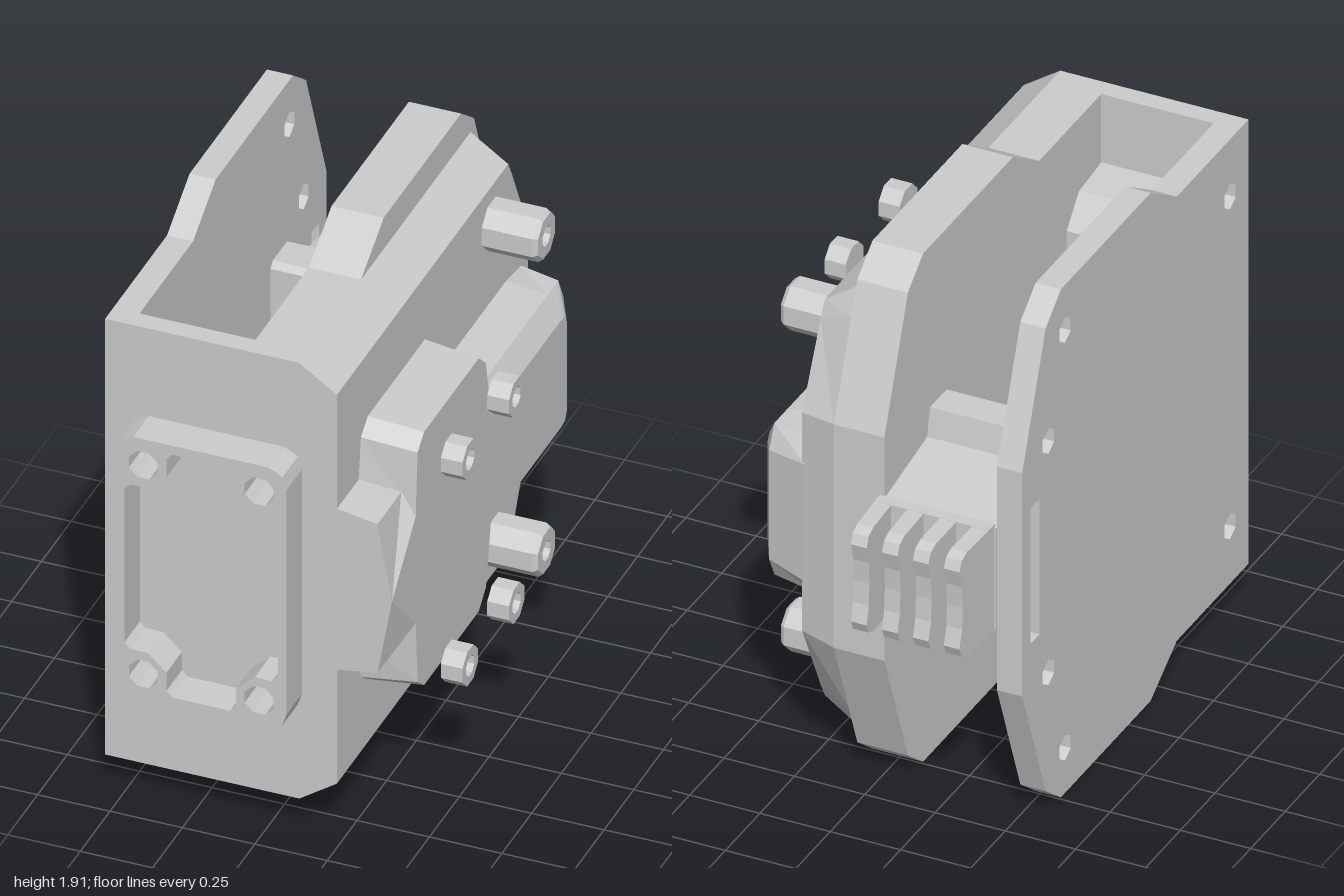
import * as THREE from 'three';

const CY = 0.965; // height of the mirror plane shared by most parts
const mat = new THREE.MeshStandardMaterial({ color: 0xcccccc, flatShading: true, side: THREE.DoubleSide });

export function createModel() {
  const group = new THREE.Group();

  const add = (name, geo, x = 0, y = 0, z = 0) => {
    const mesh = new THREE.Mesh(geo, mat);
    mesh.name = name;
    mesh.position.set(x, y, z);
    group.add(mesh);
    return mesh;
  };
  const box = (name, x0, x1, y0, y1, z0, z1) =>
    add(name, new THREE.BoxGeometry(x1 - x0, y1 - y0, z1 - z0), (x0 + x1) / 2, (y0 + y1) / 2, (z0 + z1) / 2);

  // Upper half outline [z, dy], rear to front, mirrored into a closed outline [z, y]
  const mirror = (half) => [
    ...half.map(([z, d]) => [z, CY + d]),
    ...half.slice().reverse().map(([z, d]) => [z, CY - d]),
  ];
  const polygon = (cx, cy, r, n) => Array.from({ length: n }, (_, i) => {
    const a = ((i + 0.5) / n) * Math.PI * 2;
    return [cx + r * Math.cos(a), cy + r * Math.sin(a)];
  });
  const vec = (pts) => pts.map(([a, b]) => new THREE.Vector2(a, b));
  const extrude = (outline, holes, depth) => {
    const shape = new THREE.Shape(vec(outline));
    holes.forEach((h) => shape.holes.push(new THREE.Path(vec(h))));
    return new THREE.ExtrudeGeometry(shape, { depth, bevelEnabled: false });
  };
  // Side profile in [z, y], given thickness along x
  const flipZ = (pts) => pts.map(([z, y]) => [-z, y]);
  const sidePlate = (outline, holes, x0, x1) =>
    extrude(flipZ(outline), holes.map(flipZ), x1 - x0).rotateY(Math.PI / 2).translate(x0, 0, 0);

  // Skin between matching half outlines stacked along x, closed on the outside
  const loft = (levels) => {
    const rings = levels.map(([x, half]) => mirror(half).map(([z, y]) => [x, y, z]));
    const n = rings[0].length;
    const pos = [];
    for (let k = 0; k < rings.length - 1; k++) {
      for (let i = 0; i < n; i++) {
        const j = (i + 1) % n;
        const [a, b, c, d] = [rings[k][i], rings[k][j], rings[k + 1][j], rings[k + 1][i]];
        pos.push(...a, ...b, ...c, ...a, ...c, ...d);
      }
    }
    const top = rings[rings.length - 1];
    for (let i = 0; i < n; i++) pos.push(top[0][0], CY, 0, ...top[i], ...top[(i + 1) % n]);
    const geo = new THREE.BufferGeometry();
    geo.setAttribute('position', new THREE.Float32BufferAttribute(pos, 3));
    geo.computeVertexNormals();
    return geo;
  };

  // Two cheek plates with raised crests at top and bottom
  const cheek = mirror([[-0.77, 0.42], [-0.6, 0.87], [-0.49, 0.955], [0.16, 0.955], [0.35, 0.835], [0.87, 0.835]]);
  const cheekHoles = [];
  for (const s of [1, -1]) {
    for (const [z, d] of [[0.735, 0.62], [-0.46, 0.785], [-0.58, 0.435]]) {
      cheekHoles.push(polygon(z, CY + s * d, 0.048, 6));
    }
  }
  cheekHoles.push([[-0.71, 0.71], [-0.645, 0.71], [-0.645, 1.22], [-0.71, 1.22]]);
  add('rightCheek', sidePlate(cheek, cheekHoles, -0.57, -0.48));
  add('leftCheek', sidePlate(cheek, [], -0.08, 0.1));

  // Bevelled outer housing on the left cheek
  const rim = [[-0.77, 0.42], [-0.635, 0.745], [-0.57, 0.835], [0.87, 0.835]];
  const face = [[-0.735, 0.41], [-0.6, 0.69], [-0.57, 0.745], [0.87, 0.745]];
  add('housing', loft([[0.09, rim], [0.1, rim], [0.23, face]]));

  // Front wall joining the cheeks, with a chamfered inner block
  box('frontWall', -0.5, -0.06, 0.13, 1.8, 0.8, 0.87);
  add('innerBlock', sidePlate(mirror([[0.55, 0.46], [0.64, 0.56], [0.81, 0.58]]), [], -0.48, -0.08));

  // Front panel: frame with a cross-shaped recess and four screw holes
  const PX = -0.185;
  const symmetric = (q) => {
    const h = [...q, ...q.slice().reverse().map(([x, y]) => [-x, y])];
    return [...h, ...h.slice().reverse().map(([x, y]) => [x, -y])].map(([x, y]) => [x + PX, y + CY]);
  };
  const panel = symmetric([[0.295, 0.43], [0.28, 0.475], [0.235, 0.5]]);
  const recess = symmetric([[0.265, 0.295], [0.245, 0.315], [0.185, 0.315], [0.12, 0.375], [0.12, 0.445], [0.1, 0.465]]);
  const screwHoles = [];
  for (const sx of [1, -1]) for (const sy of [1, -1]) {
    screwHoles.push(polygon(PX + sx * 0.2, CY + sy * 0.4, 0.054, 8));
  }
  add('frontPanel', extrude(panel, [recess, ...screwHoles], 0.13), 0, 0, 0.87);

  // Side cover: long bevelled bar crossed by a wider plate
  add('coverBar', loft([
    [0.22, [[-0.74, 0.22], [-0.68, 0.29], [-0.55, 0.31], [0.67, 0.31], [0.87, 0.31]]],
    [0.37, [[-0.69, 0.205], [-0.65, 0.285], [-0.56, 0.285], [0.67, 0.285], [0.87, 0.285]]],
    [0.42, [[-0.6, 0.17], [-0.585, 0.2], [-0.55, 0.205], [0.67, 0.205], [0.87, 0]]],
  ]));
  add('coverPlate', loft([
    [0.22, [[0.05, 0.3], [0.065, 0.45], [0.13, 0.505], [0.61, 0.505], [0.67, 0.46], [0.69, 0.3]]],
    [0.42, [[0.065, 0.22], [0.08, 0.43], [0.14, 0.485], [0.6, 0.485], [0.655, 0.44], [0.67, 0.22]]],
  ]));

  // Hollow turned fasteners pointing along x: profile of [radius, x]
  const turned = (profile, sides) =>
    new THREE.LatheGeometry(vec(profile), sides).rotateZ(-Math.PI / 2).rotateX(Math.PI / sides);
  const standoff = turned([[0.09, 0.2], [0.09, 0.405], [0.078, 0.42], [0.036, 0.42], [0.036, 0.32], [0, 0.32]], 8);
  const nut = turned([[0, 0.49], [0.07, 0.49], [0.07, 0.565], [0.037, 0.565], [0.037, 0.51], [0, 0.51]], 8);
  for (const s of [1, -1]) {
    add('standoff', standoff, 0, CY + s * 0.603, -0.43);
    for (const z of [0.565, 0.175]) add('nut', nut, 0, CY + s * 0.395, z);
  }

  // Cross shaft with three toothed discs
  const rod = (r, len, sides) => new THREE.CylinderGeometry(r, r, len, sides).rotateZ(Math.PI / 2);
  add('shaft', rod(0.08, 0.42, 16), -0.28, CY, 0.42);
  add('discHub', rod(0.1, 0.18, 12), -0.28, CY, 0.425);
  for (const x of [-0.357, -0.28, -0.203]) add('disc', rod(0.125, 0.032, 12), x, CY, 0.425);

  // Rear slider with sloped top and bottom
  add('slider', sidePlate(
    mirror([[-0.775, 0.19], [-0.46, 0.25], [-0.44, 0.35], [-0.32, 0.35], [-0.3, 0.33]]), [], -0.48, -0.08));

  // Grip on the slider: base and four fins, narrowing towards the rear
  const taper = (geo) => {
    const p = geo.attributes.position;
    for (let i = 0; i < p.count; i++) {
      const t = Math.max(0, (-0.77 - p.getZ(i)) / 0.23);
      p.setX(i, -0.265 + (p.getX(i) + 0.265) * (1 - 0.06 * t));
    }
    geo.computeVertexNormals();
    return geo;
  };
  add('gripBase', taper(sidePlate(mirror([[-0.81, 0.2], [-0.765, 0.2]]), [], -0.472, -0.062)));
  const fin = mirror([
    [-0.978, 0], [-0.983, 0.08], [-1, 0.145], [-0.985, 0.18], [-0.95, 0.194], [-0.77, 0.2]]);
  for (let i = 0; i < 4; i++) {
    const x = -0.472 + i * 0.117;
    add('gripFin', taper(sidePlate(fin, [], x, x + 0.059)));
  }

  return group;
}
